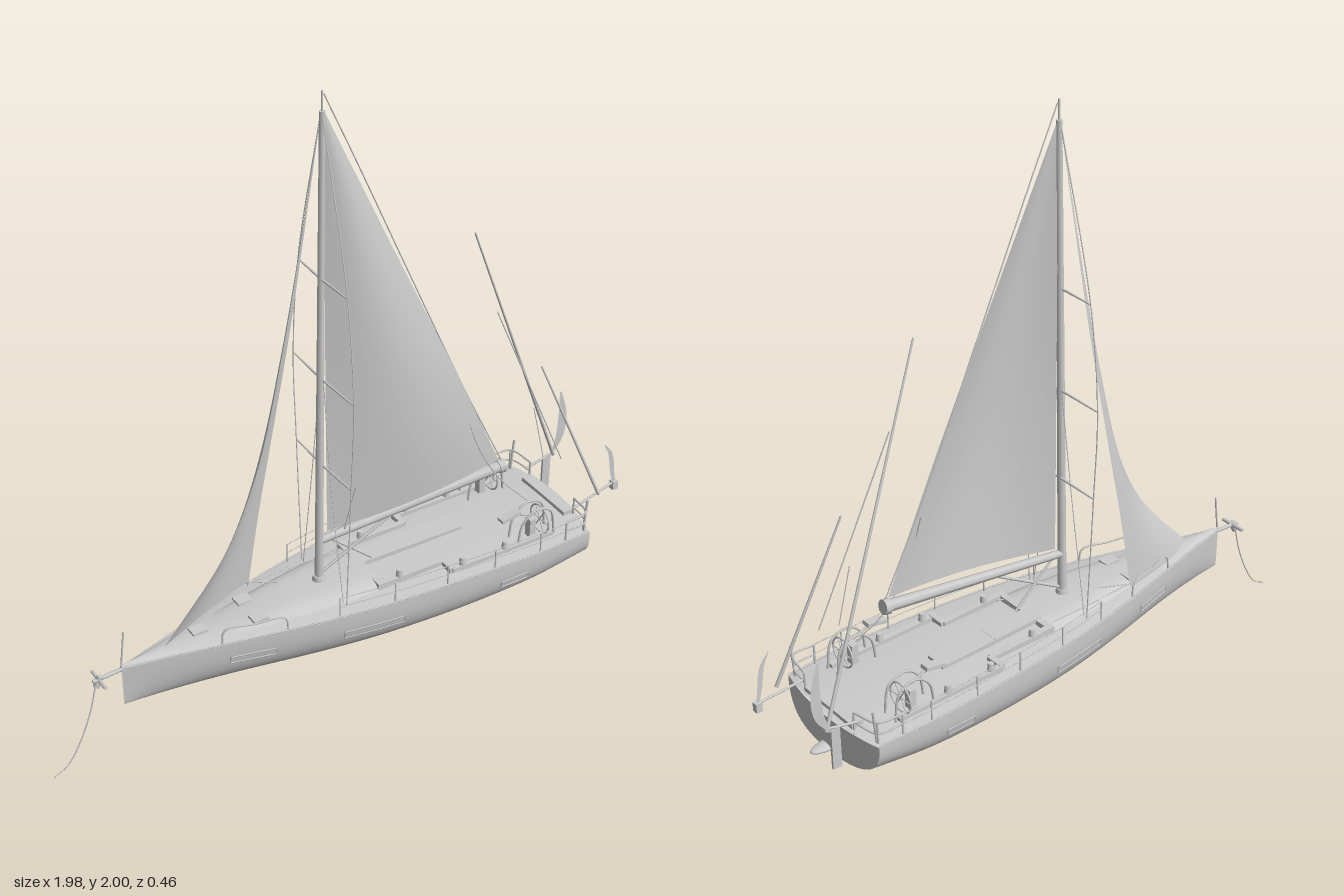
import * as THREE from 'three';
import { ParametricGeometry } from 'three/addons/geometries/ParametricGeometry.js';

const V = (x, y, z) => new THREE.Vector3(x, y, z);
const lerp = THREE.MathUtils.lerp;
const grey = new THREE.MeshStandardMaterial({ color: 0xcccccc });
const thin = new THREE.MeshStandardMaterial({ color: 0xcccccc, side: THREE.DoubleSide });

// Hull stations along x: half beam, sheer height, keel height
const stations = [
  [-0.755, 0.004, 0.32, 0.18], [-0.6, 0.047, 0.328, 0.177], [-0.4, 0.1, 0.338, 0.175],
  [-0.2, 0.15, 0.346, 0.174], [0, 0.188, 0.352, 0.176], [0.2, 0.211, 0.357, 0.182],
  [0.4, 0.225, 0.36, 0.191], [0.6, 0.23, 0.361, 0.207], [0.82, 0.223, 0.361, 0.24],
];
const beamCurve = new THREE.CatmullRomCurve3(stations.map(s => V(s[0], s[1], 0)), false, 'catmullrom');
const heightCurve = new THREE.CatmullRomCurve3(stations.map(s => V(s[0], s[2], s[3])), false, 'catmullrom');

function hullAt(x) {
  let a = 0, b = 1;
  for (let i = 0; i < 24; i++) {
    const m = (a + b) / 2;
    if (beamCurve.getPoint(m).x < x) a = m; else b = m;
  }
  const h = heightCurve.getPoint(a);
  return { w: beamCurve.getPoint(a).y, deck: h.y, keel: h.z };
}

// The stern rounds off toward its corners
const sternX = (x, z) => x - 0.6 * z * z * Math.max(0, (x - 0.6) / 0.22);
const lerpX = u => lerp(-0.755, 0.82, u);

// Point on the skin: s runs -1 (one sheer) through 0 (keel) to 1 (other sheer);
// the section is fine at the bow and full, with firm bilges, aft
function skin(x, s) {
  const { w, deck, keel } = hullAt(x);
  const a = Math.abs(s) * Math.PI / 2;
  const full = THREE.MathUtils.smoothstep(x, -0.75, 0.3);
  const z = Math.sign(s) * w * Math.pow(Math.sin(a), lerp(0.9, 0.55, full));
  return V(sternX(x, z), deck - (deck - keel) * Math.pow(Math.max(0, Math.cos(a)), lerp(0.8, 0.7, full)), z);
}
const deckY = (x, z) => {
  const { w, deck } = hullAt(x);
  return deck + 0.012 * (1 - Math.min(1, (z / w) ** 2));
};

export function createModel() {
  const model = new THREE.Group();

  const add = (name, geo, mat = grey) => {
    const m = new THREE.Mesh(geo, mat);
    m.name = name;
    model.add(m);
    return m;
  };
  const surface = (name, f, nu, nv) => {
    const g = new ParametricGeometry((u, v, t) => t.copy(f(u, v)), nu, nv);
    g.computeVertexNormals();
    return add(name, g, thin);
  };
  const rod = (name, a, b, r, r2 = r) => {
    const m = add(name, new THREE.CylinderGeometry(r2, r, a.distanceTo(b), 8));
    m.position.copy(a).lerp(b, 0.5);
    m.quaternion.setFromUnitVectors(V(0, 1, 0), b.clone().sub(a).normalize());
    return m;
  };
  const tube = (name, pts, r, n = 32) =>
    add(name, new THREE.TubeGeometry(new THREE.CatmullRomCurve3(pts), n, r, 6));
  const box = (name, sx, sy, sz, x, y, z) => {
    const m = add(name, new THREE.BoxGeometry(sx, sy, sz));
    m.position.set(x, y, z);
    return m;
  };

  // Hull, transom and deck
  surface('hull', (u, v) => skin(lerpX(u), lerp(1, -1, v)), 80, 80);
  surface('transom', (u, v) => {
    const p = skin(0.82, u);
    const z = lerp(p.z, -p.z, v);
    return V(sternX(0.82, z), p.y, z);
  }, 40, 16);
  surface('deck', (u, v) => {
    const x = lerpX(u), z = hullAt(x).w * lerp(-1, 1, v);
    return V(sternX(x, z), deckY(x, z), z);
  }, 80, 16);
  const step = add('sternStep', new THREE.SphereGeometry(1, 20, 12));
  step.scale.set(0.075, 0.012, 0.026);
  step.position.set(0.8, 0.25, 0);
  box('sternBench', 0.04, 0.022, 0.23, 0.785, 0.374, 0);
  for (const s of [-1, 1]) {
    const pts = [];
    for (let i = 0; i <= 24; i++) pts.push(skin(lerpX(i / 24), s).add(V(0, 0.002, -s * 0.004)));
    tube('toeRail', pts, 0.003, 64);
    // Long hull windows with a slim frame
    for (const [a, b] of [[-0.44, -0.3], [-0.09, 0.11], [0.45, 0.55]]) {
      const pane = (u, v) => skin(lerp(a, b, u), s * lerp(0.77, 0.86, v)).add(V(0, 0, s * 0.003));
      surface('hullWindow', pane, 10, 4);
      const corners = [[0, 0], [0.5, 0], [1, 0], [1, 1], [0.5, 1], [0, 1], [0, 0]];
      const frame = new THREE.CatmullRomCurve3(corners.map(c => pane(...c)), false, 'catmullrom', 0);
      add('windowFrame', new THREE.TubeGeometry(frame, 60, 0.0025, 5));
    }
  }

  // Coachroof: a low dome fading into the foredeck
  surface('coachroof', (u, v) => {
    const x = lerp(-0.46, 0.08, u), c = lerp(-1, 1, v);
    const z = c * Math.min(hullAt(x).w * 0.68, 0.125);
    const rise = 0.02 * Math.min(1, u * 2.2) * (1 - c ** 6);
    return V(x, deckY(x, z) + rise - 0.002, z);
  }, 24, 20);
  box('coachroofEnd', 0.004, 0.026, 0.2, 0.08, 0.368, 0);
  box('companionway', 0.18, 0.014, 0.07, 0.15, 0.377, -0.03);
  box('cockpitTable', 0.2, 0.018, 0.07, 0.34, 0.374, -0.03);
  for (const [x, z] of [[-0.5, 0], [-0.32, 0.05], [-0.32, -0.05]])
    box('deckHatch', 0.05, 0.008, 0.04, x, deckY(x, z) + 0.012, z);

  // Cockpit coamings and twin helms
  for (const s of [-1, 1]) {
    box('frontCoaming', 0.24, 0.02, 0.02, 0.18, 0.371, s * 0.115);
    box('coamingFront', 0.02, 0.02, 0.06, 0.07, 0.371, s * 0.095);
    box('coamingCorner', 0.02, 0.02, 0.06, 0.3, 0.371, s * 0.14);
    box('rearCoaming', 0.38, 0.02, 0.02, 0.49, 0.369, s * 0.165);
    for (const x of [0.14, 0.34, 0.5]) {
      const w = add('winch', new THREE.CylinderGeometry(0.009, 0.012, 0.028, 12));
      w.position.set(x, 0.39, s * (x < 0.3 ? 0.115 : 0.165));
    }
    const wheel = add('helmWheel', new THREE.TorusGeometry(0.048, 0.003, 8, 28));
    wheel.position.set(0.65, 0.42, s * 0.14);
    wheel.rotation.y = Math.PI / 2;
    for (let i = 0; i < 3; i++) {
      const a = i * Math.PI / 3, dy = 0.048 * Math.sin(a), dz = 0.048 * Math.cos(a);
      rod('wheelSpoke', V(0.65, 0.42 - dy, s * 0.14 - dz), V(0.65, 0.42 + dy, s * 0.14 + dz), 0.002);
    }
    box('helmPedestal', 0.022, 0.075, 0.026, 0.615, 0.397, s * 0.14);
    for (const dz of [-0.025, 0.025])
      tube('helmGuard', [V(0.55, 0.36, s * 0.14 + dz), V(0.565, 0.44, s * 0.14 + dz),
        V(0.61, 0.478, s * 0.14 + dz), V(0.67, 0.46, s * 0.14 + dz), V(0.69, 0.36, s * 0.14 + dz)], 0.004);
    const pod = box('instrumentPod', 0.07, 0.012, 0.03, 0.53, 0.475, s * 0.14);
    pod.rotation.z = 0.2;
    rod('podArm', V(0.55, 0.475, s * 0.14), V(0.61, 0.45, s * 0.14), 0.004);

    // Guard rails
    const side = (x, dy) => V(x, hullAt(x).deck + dy, s * (hullAt(x).w - 0.012));
    const xs = [-0.1, 0.08, 0.26, 0.43, 0.6, 0.7];
    for (const x of xs) rod('stanchion', side(x, 0), side(x, 0.07), 0.0025);
    tube('guardWire', xs.map(x => side(x, 0.068)), 0.0015);
    tube('lowerWire', xs.map(x => side(x, 0.036)), 0.0015);
    const aft = [V(0.7, 0.43, s * 0.215), V(0.78, 0.435, s * 0.205), V(0.8, 0.43, s * 0.12)];
    tube('sternRail', aft, 0.0035);
    tube('sternLowerRail', aft.map(p => p.clone().setY(0.397)), 0.003);
    for (const p of aft) rod('sternPost', p.clone().setY(0.355), p, 0.0035);
    rod('sternFlagPost', V(0.78, 0.36, s * 0.2), V(0.79, 0.475, s * 0.2), 0.004);
    tube('bowRail', [V(-0.46, 0.335, s * 0.078), V(-0.45, 0.385, s * 0.077), V(-0.36, 0.39, s * 0.102),
      V(-0.27, 0.39, s * 0.123), V(-0.26, 0.34, s * 0.125)], 0.003);

    // Shrouds and spreaders
    const shroud = [[0.36, 0.135], [0.8, 0.158], [1.1, 0.17], [1.43, 0.135], [1.93, 0.005]];
    tube('shroud', shroud.map(([y, z]) => V(-0.062, y, s * z)), 0.002);
    tube('innerShroud', [V(-0.065, 0.36, s * 0.12), V(-0.068, 0.75, s * 0.055), V(-0.066, 1.1, s * 0.01)], 0.0015);
    for (const [y, z] of shroud.slice(1, 4))
      rod('spreader', V(-0.067, y, 0), V(-0.062, y, s * z), 0.004, 0.0025);
  }

  // Mast, boom and rigging
  rod('mast', V(-0.08, 0.35, 0), V(-0.06, 1.94, 0), 0.014, 0.009);
  rod('mastAntenna', V(-0.06, 1.93, 0), V(-0.06, 2, 0), 0.003);
  const mastFoot = add('mastCollar', new THREE.CylinderGeometry(0.018, 0.024, 0.03, 16));
  mastFoot.position.set(-0.08, 0.38, 0);
  rod('boom', V(-0.07, 0.525, 0), V(0.565, 0.597, 0.04), 0.013, 0.019);
  rod('boomEnd', V(0.55, 0.595, 0.039), V(0.57, 0.598, 0.04), 0.024);
  rod('boomVang', V(-0.075, 0.4, 0), V(0.16, 0.535, 0.015), 0.005);
  rod('mainsheet', V(-0.04, 0.52, 0), V(0.11, 0.39, 0), 0.004);
  rod('battenStrut', V(-0.005, 0.56, 0.03), V(0.035, 0.7, 0.03), 0.003);
  tube('toppingLift', [V(-0.055, 1.99, 0), V(0.04, 1.78, 0.005), V(0.22, 1.37, 0.015),
    V(0.42, 0.92, 0.025), V(0.56, 0.62, 0.04)], 0.002);
  tube('reefLine', [V(0.43, 0.85, 0.03), V(0.45, 0.74, 0.05), V(0.54, 0.57, 0.06), V(0.63, 0.47, 0.1)], 0.002);
  for (const z of [-0.1, 0.1])
    rod('jibSheet', V(-0.27, 0.375, -0.1), V(0.1, 0.375, z), 0.002);

  // Sails, each spanned between a luff and a leech with a belly
  const sail = (name, luff, leech, belly) => {
    const a = new THREE.CatmullRomCurve3(luff), b = new THREE.CatmullRomCurve3(leech);
    return surface(name, (u, v) => {
      const p = a.getPoint(v).lerp(b.getPoint(v), u);
      p.z += belly * Math.sin(Math.PI * u) * Math.sin(Math.PI * (0.2 + 0.8 * v));
      return p;
    }, 20, 40);
  };
  sail('mainsail', [V(-0.05, 0.55, 0), V(-0.053, 1, 0), V(-0.055, 1.45, 0), V(-0.058, 1.93, 0)],
    [V(0.55, 0.622, 0.04), V(0.38, 1, 0.035), V(0.17, 1.45, 0.02), V(-0.052, 1.935, 0)], 0.04);
  sail('jib', [V(-0.62, 0.33, 0), V(-0.4, 0.59, -0.005), V(-0.285, 0.83, -0.01), V(-0.19, 1.23, -0.005), V(-0.066, 1.93, 0)],
    [V(-0.265, 0.37, -0.11), V(-0.23, 0.62, -0.1), V(-0.19, 0.88, -0.084),
      V(-0.14, 1.26, -0.05), V(-0.064, 1.93, 0)], -0.02);

  // Bowsprit, anchor and trailing line
  rod('bowsprit', V(-0.85, 0.308, 0), V(-0.68, 0.322, 0), 0.006);
  rod('anchorStock', V(-0.83, 0.308, -0.045), V(-0.83, 0.308, 0.045), 0.006);
  rod('anchorShank', V(-0.84, 0.285, 0), V(-0.825, 0.32, 0), 0.01);
  rod('bowStaff', V(-0.757, 0.32, 0), V(-0.742, 0.45, 0), 0.003);
  tube('anchorLine', [V(-0.84, 0.3, 0), V(-0.865, 0.2, 0), V(-0.905, 0.1, 0), V(-0.95, 0.03, 0), V(-0.998, 0.002, 0)], 0.002);

  // Long poles and lines over the stern
  rod('longPole', V(0.9, 0.42, -0.13), V(0.445, 1.44, 0.015), 0.006, 0.003);
  rod('shortPole', V(0.89, 0.42, 0.13), V(0.675, 0.94, 0.07), 0.006, 0.003);
  rod('sternLine', V(0.76, 0.58, 0.09), V(0.52, 1.165, 0.04), 0.002);
  rod('poleLine', V(0.71, 0.59, 0.06), V(0.67, 0.78, 0.05), 0.0015);

  // Curved blades hung off the stern
  const blade = (name, pts, width, z) => {
    const c = new THREE.CatmullRomCurve3(pts.map(p => V(p[0], p[1], z)));
    surface(name, (u, v) => {
      const p = c.getPoint(v);
      p.x += (u - 0.5) * width * Math.sin(Math.PI * (0.06 + 0.88 * v));
      return p;
    }, 4, 24);
  };
  blade('tallBlade', [[0.915, 0.66], [0.928, 0.57], [0.92, 0.48], [0.885, 0.41]], 0.035, -0.13);
  blade('smallBlade', [[0.925, 0.58], [0.95, 0.54], [0.965, 0.46], [0.98, 0.39]], 0.018, 0.1);
  box('vanePlate', 0.03, 0.14, 0.008, 0.872, 0.35, -0.13);
  box('vaneBracket', 0.02, 0.03, 0.02, 0.975, 0.41, 0.1);
  rod('tallBladeArm', V(0.79, 0.4, -0.13), V(0.9, 0.43, -0.13), 0.004);
  rod('smallBladeArm', V(0.79, 0.4, 0.13), V(0.975, 0.42, 0.1), 0.004);

  return model;
}
